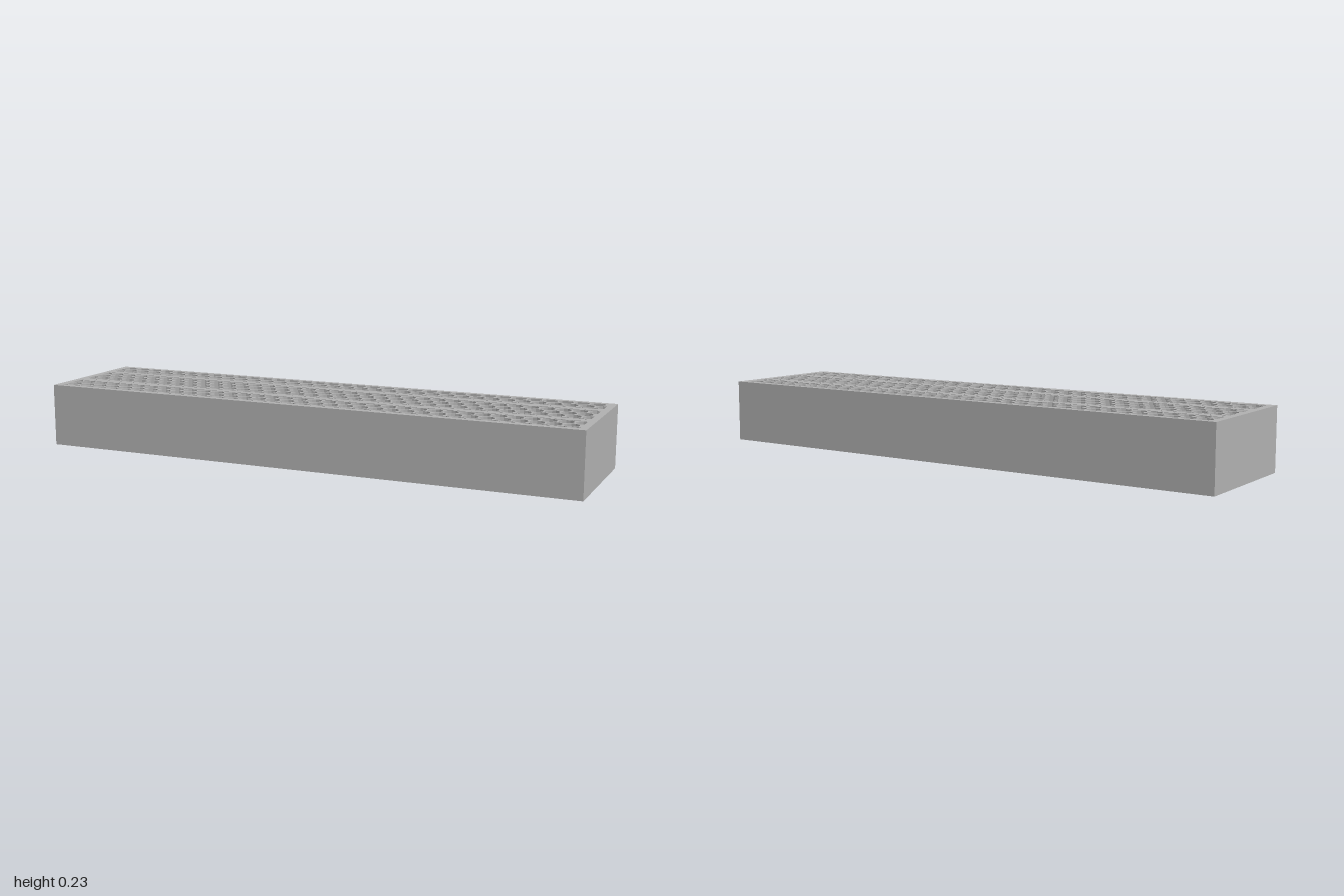
import * as THREE from 'three';

const HEIGHT = 0.227, HALF_X = 1, HALF_Z = 0.242;
const INNER_X = 0.975;            // inside of the end frames
const PITCH = 0.0555, ROW = 0.048, RADIUS = 0.0258, SIDES = 12;
// perforated bands in z; the gaps between them are the solid bars
const BANDS = [[-0.222, -0.122], [-0.092, 0.07], [0.1, 0.216]];

// round hole, cut off where it runs into the frame or a bar
function holePath(cx, cz, z0, z1) {
  const points = [];
  for (let i = 0; i < SIDES; i++) {
    const a = ((i + 0.5) / SIDES) * Math.PI * 2;
    const p = new THREE.Vector2(
      THREE.MathUtils.clamp(cx + RADIUS * Math.cos(a), -INNER_X, INNER_X),
      -THREE.MathUtils.clamp(cz + RADIUS * Math.sin(a), z0, z1)
    );
    const last = points[points.length - 1];
    if (!last || last.distanceTo(p) > 1e-4) points.push(p);
  }
  if (points[0].distanceTo(points[points.length - 1]) < 1e-4) points.pop();
  const size = new THREE.Box2().setFromPoints(points).getSize(new THREE.Vector2());
  return points.length > 2 && Math.min(size.x, size.y) > 0.006 ? new THREE.Path(points) : null;
}

export function createModel() {
  const group = new THREE.Group();
  group.name = 'perforatedBlock';
  const grey = new THREE.MeshStandardMaterial({ color: 0xb0b0b0 });
  grey.name = 'grey';

  // outer rectangle
  const shape = new THREE.Shape([
    new THREE.Vector2(-HALF_X, -HALF_Z), new THREE.Vector2(HALF_X, -HALF_Z),
    new THREE.Vector2(HALF_X, HALF_Z), new THREE.Vector2(-HALF_X, HALF_Z),
  ]);

  // staggered rows of through holes
  for (const [z0, z1] of BANDS) {
    for (let r = -1; r <= 9; r++) {
      const cz = -0.203 + r * ROW;
      if (cz + RADIUS < z0 || cz - RADIUS > z1) continue;
      const start = -0.947 + (r % 2 ? PITCH / 2 : 0);
      for (let i = -1; i <= 35; i++) {
        const cx = start + i * PITCH;
        if (Math.abs(cx) - RADIUS > INNER_X) continue;
        const hole = holePath(cx, cz, z0, z1);
        if (hole) shape.holes.push(hole);
      }
    }
  }

  // extrude upwards from the ground
  const geometry = new THREE.ExtrudeGeometry(shape, { depth: HEIGHT, bevelEnabled: false });
  geometry.rotateX(-Math.PI / 2);
  const block = new THREE.Mesh(geometry, grey);
  block.name = 'honeycombBlock';
  group.add(block);
  return group;
}
